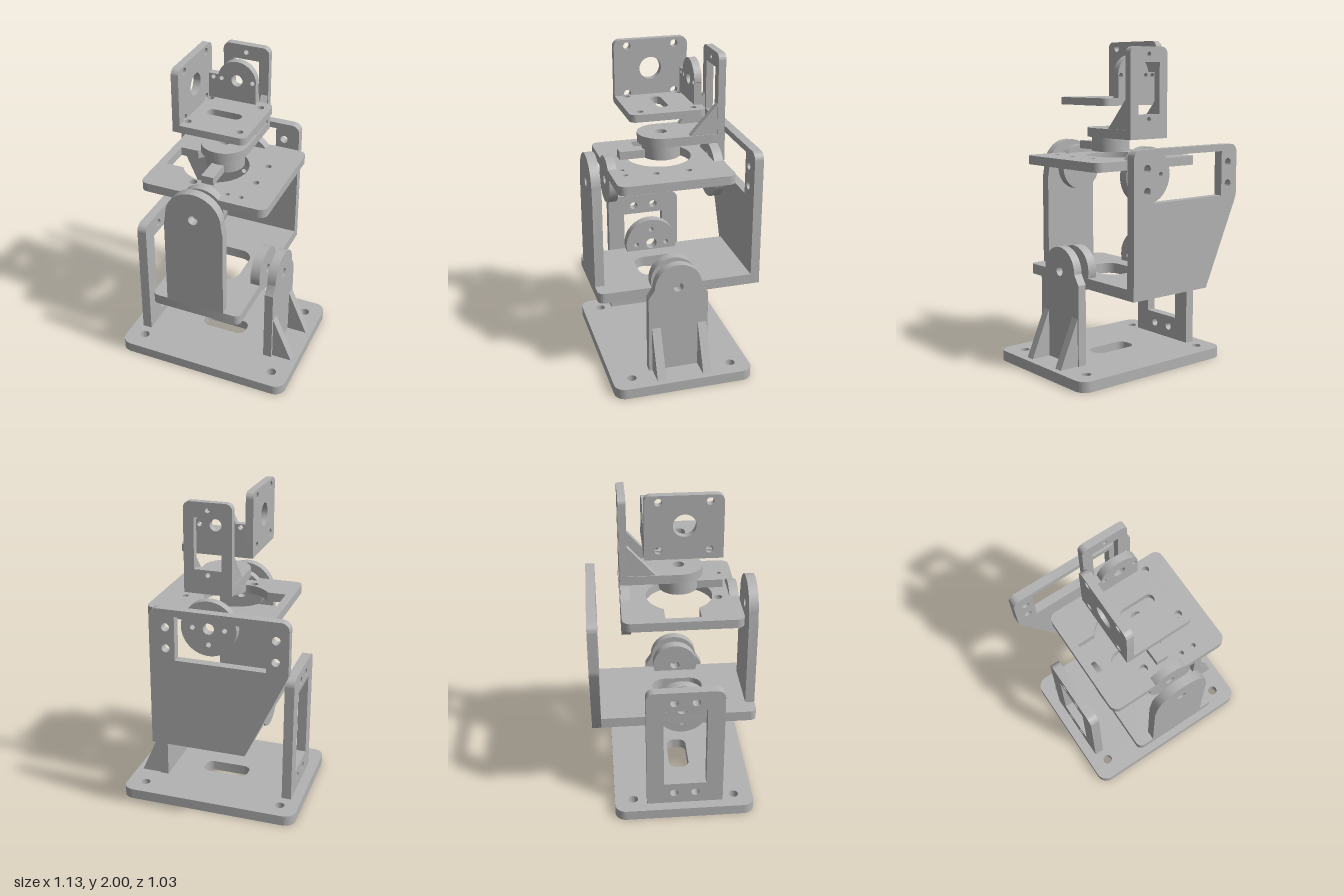
import * as THREE from 'three';
import { toCreasedNormals } from 'three/addons/utils/BufferGeometryUtils.js';

const grey = new THREE.MeshStandardMaterial({ color: 0xb3b3b3 });
grey.name = 'grey';

// Closed outline from [x, y, cornerRadius] points
function poly(points, Type = THREE.Shape) {
  const s = new Type();
  const n = points.length;
  points.forEach((p, i) => {
    const towards = (q, d) => {
      const l = Math.hypot(q[0] - p[0], q[1] - p[1]);
      return [p[0] + (q[0] - p[0]) * d / l, p[1] + (q[1] - p[1]) * d / l];
    };
    const r = p[2] || 0;
    const a = towards(points[(i + n - 1) % n], r);
    const b = towards(points[(i + 1) % n], r);
    if (i === 0) s.moveTo(...a); else s.lineTo(...a);
    if (r) s.bezierCurveTo(
      a[0] + (p[0] - a[0]) * 0.55, a[1] + (p[1] - a[1]) * 0.55,
      b[0] + (p[0] - b[0]) * 0.55, b[1] + (p[1] - b[1]) * 0.55, ...b);
  });
  s.closePath();
  return s;
}

const rect = (x0, x1, y0, y1, r = 0, Type = THREE.Shape) =>
  poly([[x0, y0, r], [x1, y0, r], [x1, y1, r], [x0, y1, r]], Type);
const windowHole = (x0, x1, y0, y1, r = 0) => rect(x0, x1, y0, y1, r, THREE.Path);
const circle = (x, y, r, Type = THREE.Path) => new Type().absarc(x, y, r, 0, Math.PI * 2);
const disc = (x, y, r) => circle(x, y, r, THREE.Shape);
const grid = (xs, ys, r) => xs.flatMap(x => ys.map(y => circle(x, y, r)));

// Upright tab with a round top and small sloping shoulders
function arch(cx, w, y0, shoulder, cy, r) {
  const s = new THREE.Shape();
  s.moveTo(cx - w, y0);
  s.lineTo(cx + w, y0);
  s.lineTo(cx + w, shoulder);
  s.lineTo(cx + r, cy);
  s.absarc(cx, cy, r, 0, Math.PI);
  s.lineTo(cx - w, shoulder);
  s.closePath();
  return s;
}

export function createModel() {
  const model = new THREE.Group();
  let group;
  const section = name => {
    group = new THREE.Group();
    group.name = name;
    model.add(group);
  };

  // Outline planes: axis x uses (z, y), axis y uses (x, z), axis z uses (x, y)
  function slab(name, axis, lo, hi, shape, holes = []) {
    shape.holes.push(...holes);
    let g = new THREE.ExtrudeGeometry(shape, { depth: hi - lo, bevelEnabled: false, curveSegments: 24 });
    if (axis === 'x') g.rotateY(-Math.PI / 2).translate(hi, 0, 0);
    else if (axis === 'y') g.rotateX(Math.PI / 2).translate(0, hi, 0);
    else g.translate(0, 0, lo);
    g = toCreasedNormals(g, 0.5);
    const mesh = new THREE.Mesh(g, grey);
    mesh.name = name;
    group.add(mesh);
  }

  // Round horn with a bore and a ring of screw holes
  function horn(name, axis, lo, hi, cx, cy, r) {
    const holes = [circle(cx, cy, 0.035)];
    for (let i = 0; i < 4; i++) {
      const a = i * Math.PI / 2;
      holes.push(circle(cx + 0.1 * Math.cos(a), cy + 0.1 * Math.sin(a), 0.016));
    }
    slab(name, axis, lo, hi, disc(cx, cy, r), holes);
  }

  // Base with its two uprights
  section('base');
  slab('basePlate', 'y', 0, 0.065, rect(-0.565, 0.565, -0.39, 0.48, 0.07),
    [...grid([-0.45, 0.45], [-0.275, 0.36], 0.03), windowHole(-0.15, 0.15, -0.02, 0.11, 0.05)]);
  slab('motorFrame', 'x', -0.5, -0.44,
    poly([[-0.19, 0.065], [0.285, 0.065], [0.285, 0.885, 0.05], [-0.19, 0.885, 0.05]]),
    [windowHole(-0.085, 0.18, 0.21, 0.755), ...grid([-0.02, 0.112], [0.14, 0.812], 0.025)]);
  slab('pivotUpright', 'x', 0.345, 0.4, arch(0.048, 0.187, 0.065, 0.56, 0.62, 0.148),
    [circle(0.048, 0.62, 0.03)]);
  for (const z of [-0.13, 0.16])
    slab('uprightRib', 'z', z, z + 0.055, poly([[0.395, 0.065], [0.527, 0.065], [0.395, 0.37]]));

  // Lower tilting bracket
  section('lowerBracket');
  slab('lowerFloor', 'y', 0.515, 0.58,
    poly([[-0.29, -0.5], [0.29, -0.5], [0.29, 0.515, 0.04], [-0.29, 0.515, 0.04]]),
    [windowHole(-0.13, 0.13, -0.115, 0.205, 0.08)]);
  slab('frontUpright', 'z', 0.457, 0.515, arch(0, 0.185, 0.57, 1.14, 1.203, 0.174),
    [circle(0, 1.203, 0.03)]);
  slab('backUpright', 'z', -0.512, -0.455,
    poly([[-0.29, 0.515], [0.29, 0.515], [0.29, 1.38, 0.05], [-0.54, 1.38, 0.05], [-0.54, 1.06, 0.02]]),
    [windowHole(-0.41, 0.135, 1.07, 1.34), ...grid([-0.465, 0.19], [1.14, 1.27], 0.025)]);
  horn('lowerHorn', 'x', -0.29, -0.23, 0.048, 0.622, 0.168);
  slab('lowerPivotDisc', 'x', 0.23, 0.29, disc(0.048, 0.622, 0.143), [circle(0.048, 0.622, 0.03)]);

  // Middle platform with a keyhole opening
  section('middlePlatform');
  const keyhole = new THREE.Path();
  const a = Math.atan2(0.105, -0.17);
  keyhole.moveTo(-0.345, -0.06);
  keyhole.lineTo(-0.23, -0.06);
  keyhole.absarc(-0.06, 0.045, 0.2, -a, a);
  keyhole.lineTo(-0.345, 0.15);
  keyhole.closePath();
  slab('platformPlate', 'y', 1.245, 1.3, rect(-0.395, 0.395, -0.31, 0.4, 0.05),
    [keyhole, circle(-0.107, 0.276, 0.025), ...grid([0.235], [-0.06, 0.14], 0.02),
      ...grid([0.13, 0.215], [0.32], 0.015)]);
  slab('platformPivotDisc', 'z', 0.345, 0.4, disc(0, 1.205, 0.143), [circle(0, 1.205, 0.03)]);
  horn('platformHorn', 'z', -0.307, -0.25, 0, 1.203, 0.172);

  // Rotating hub and its back upright
  section('rotatingHub');
  slab('hubCylinder', 'y', 1.33, 1.425, disc(0, 0.045, 0.117), [circle(0, 0.045, 0.036)]);
  slab('hubPointer', 'y', 1.33, 1.38, rect(-0.038, 0.038, 0.13, 0.31));
  slab('hubPlate', 'y', 1.42, 1.475, arch(0, 0.145, -0.31, 0.045, 0.045, 0.145),
    [circle(0, 0.045, 0.036)]);
  slab('hubUpright', 'z', -0.31, -0.265,
    poly([[-0.145, 1.42], [0.145, 1.42], [0.145, 1.96, 0.04], [-0.145, 1.96, 0.04]]),
    [windowHole(-0.083, 0.083, 1.565, 1.87), circle(0, 1.535, 0.015), circle(0, 1.915, 0.015)]);
  for (const x of [-0.14, 0.1])
    slab('hubGusset', 'x', x, x + 0.04, poly([[-0.27, 1.47], [-0.095, 1.47], [-0.27, 1.665]]));

  // Top cradle
  section('topCradle');
  slab('cradleFloor', 'y', 1.615, 1.66,
    poly([[-0.2, -0.17], [0.22, -0.17, 0.04], [0.22, 0.283, 0.04], [-0.2, 0.283]]),
    [...grid([-0.16, 0.16], [-0.105, 0.215], 0.021), windowHole(-0.11, 0.105, 0.022, 0.09, 0.033)]);
  slab('cradleSide', 'x', -0.225, -0.18,
    poly([[-0.17, 1.615], [0.283, 1.615], [0.283, 2, 0.04], [-0.17, 2, 0.04]]),
    [circle(0.06, 1.82, 0.067), ...grid([-0.088, 0.203], [1.672, 1.962], 0.022)]);
  const lug = new THREE.Shape();
  lug.moveTo(-0.185, 1.655);
  lug.lineTo(0.118, 1.655);
  lug.lineTo(0.118, 1.79);
  lug.absarc(0, 1.793, 0.12, 0, Math.PI - 0.17);
  lug.lineTo(-0.185, 1.813);
  lug.closePath();
  slab('cradleLug', 'z', -0.17, -0.125, lug,
    [circle(0, 1.793, 0.036), ...grid([-0.15, -0.098, 0.098], [1.793], 0.014)]);

  return model;
}
